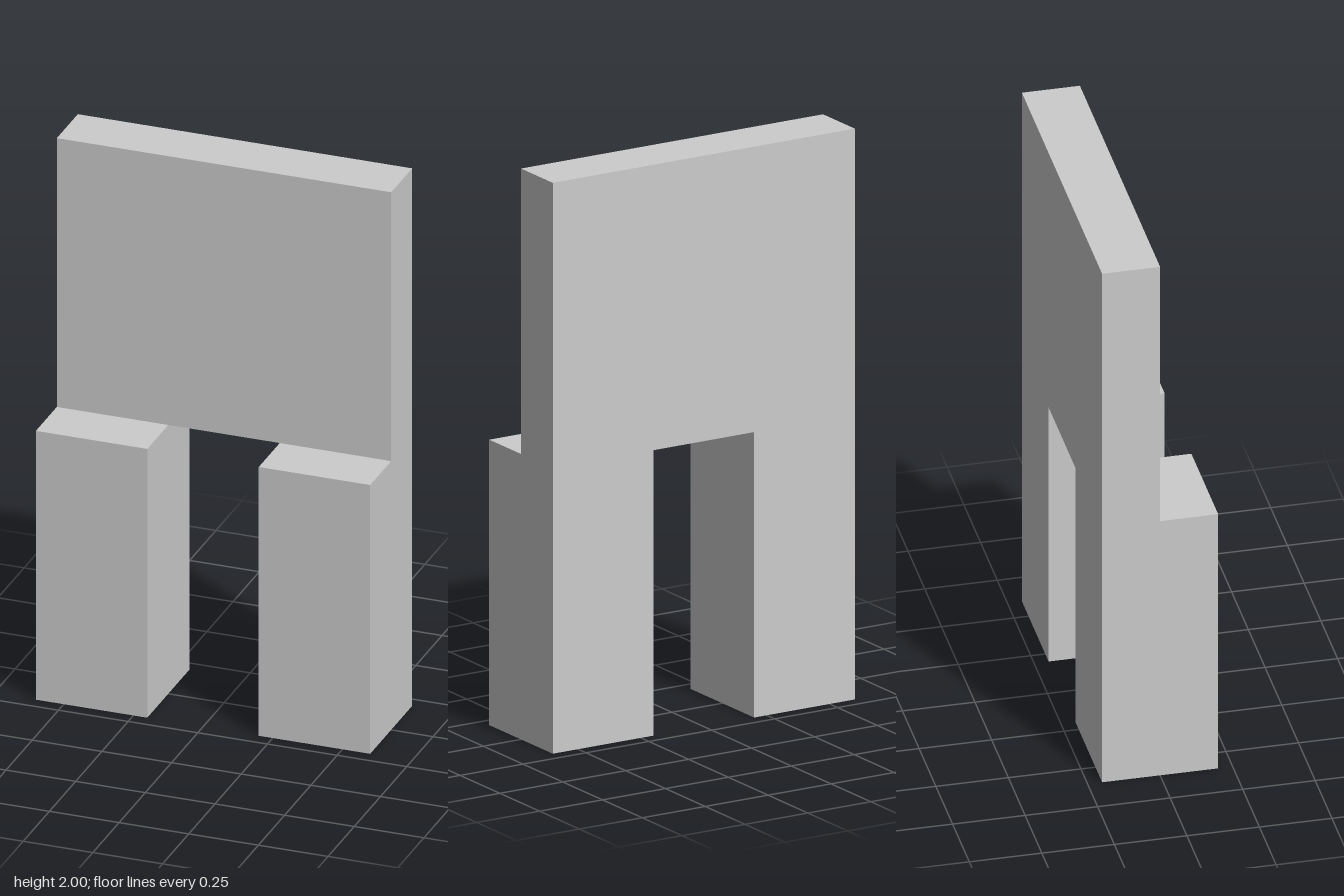
import * as THREE from 'three';

const material = new THREE.MeshStandardMaterial({ color: 0xcccccc, flatShading: true });

function box(name, w, h, d, x, y, z) {
  const mesh = new THREE.Mesh(new THREE.BoxGeometry(w, h, d), material);
  mesh.name = name;
  mesh.position.set(x, y, z);
  return mesh;
}

export function createModel() {
  const model = new THREE.Group();
  model.name = 'panelOnLegs';

  // Upright panel, flush with the back of the legs
  model.add(box('panel', 1.2, 1, 0.2, 0, 1.5, -0.1));

  // Two square legs, mirrored
  for (const [name, side] of [['leftLeg', 1], ['rightLeg', -1]]) {
    model.add(box(name, 0.4, 1, 0.4, side * 0.4, 0.5, 0));
  }
  return model;
}
